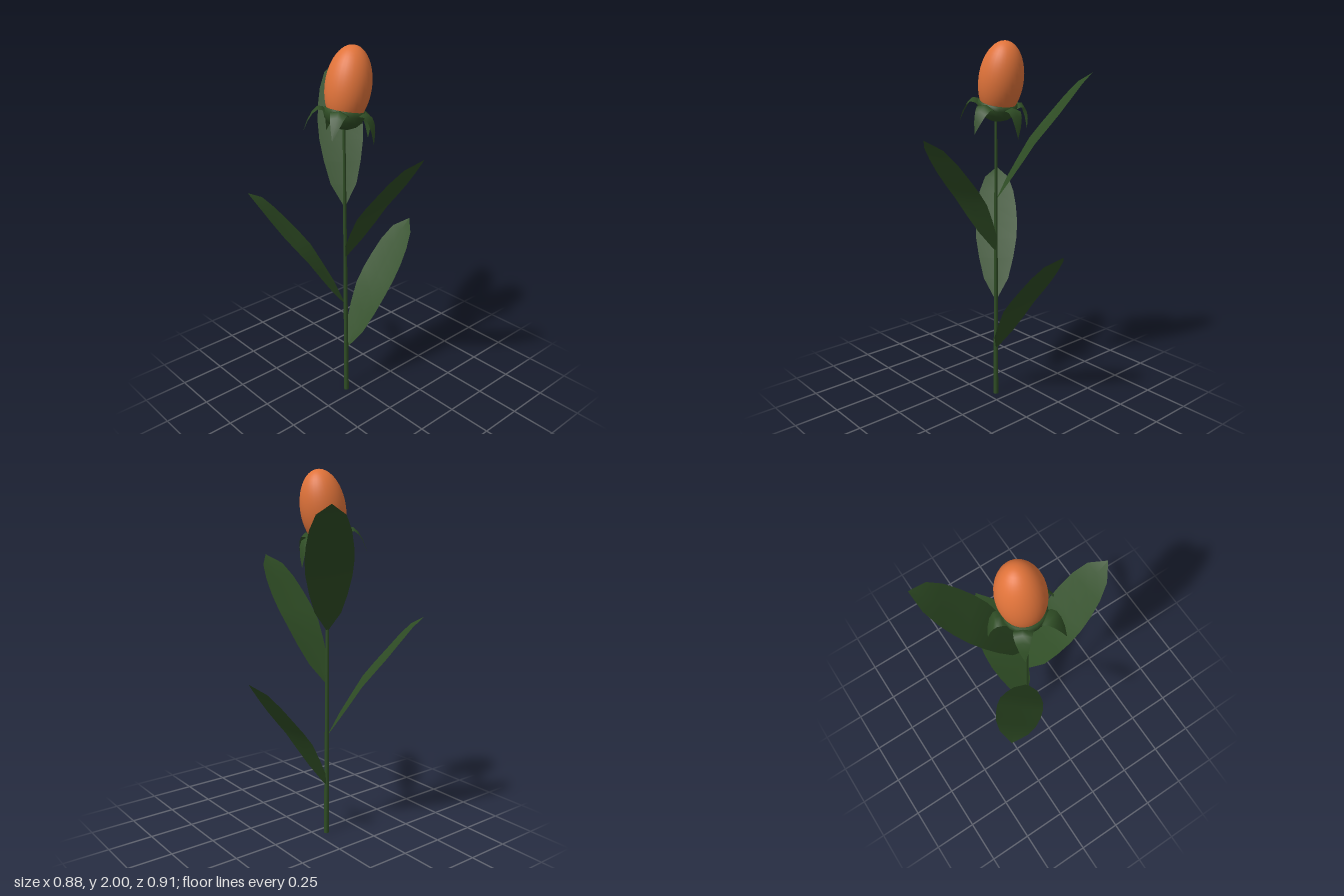
import * as THREE from 'three';

const green = new THREE.MeshStandardMaterial({ color: 0x2f4d25, side: THREE.DoubleSide });
green.name = 'leaf green';
const orange = new THREE.MeshStandardMaterial({ color: 0xe0733a });
orange.name = 'bud orange';

function part(name, geometry, material, parent) {
  const mesh = new THREE.Mesh(geometry, material);
  mesh.name = name;
  parent.add(mesh);
  return mesh;
}

// Blade running along +x from rows of [x, y, half width]; its edges are lifted by fold
function bladeGeometry(rows, fold) {
  const pos = [], index = [];
  rows.forEach(([x, y, w], i) => {
    const lift = fold * w;
    pos.push(x, y + lift, -w, x, y, 0, x, y + lift, w);
    if (i === 0) return;
    const a = (i - 1) * 3, b = i * 3;
    for (let j = 0; j < 2; j++) {
      index.push(a + j, a + j + 1, b + j, a + j + 1, b + j + 1, b + j);
    }
  });
  const g = new THREE.BufferGeometry();
  g.setAttribute('position', new THREE.Float32BufferAttribute(pos, 3));
  g.setIndex(index);
  g.computeVertexNormals();
  return g;
}

export function createModel() {
  const model = new THREE.Group();
  model.name = 'flower';
  const stemX = -0.065, stemZ = -0.052;

  // Tapered stem
  const stem = part('stem', new THREE.CylinderGeometry(0.007, 0.014, 1.6, 8), green, model);
  stem.position.set(stemX, 0.8, stemZ);

  // Four equal leaves spiralling up the stem by the golden angle
  const leaf = bladeGeometry([
    [0.005, 0, 0.004], [0.065, 0.1, 0.069], [0.13, 0.203, 0.098],
    [0.192, 0.302, 0.117], [0.255, 0.38, 0.121], [0.317, 0.455, 0.115],
    [0.38, 0.535, 0.1], [0.442, 0.61, 0.07], [0.505, 0.665, 0],
  ], 0.08);
  for (let i = 0; i < 4; i++) {
    const m = part('leaf', leaf, green, model);
    m.position.set(stemX, 0.29 + i * 0.293, stemZ);
    m.rotation.y = THREE.MathUtils.degToRad(1 + i * 137.5);
  }

  // Flower head, leaning to +x
  const head = new THREE.Group();
  head.name = 'flowerHead';
  head.position.set(-0.075, 1.59, -0.057);
  head.rotation.z = THREE.MathUtils.degToRad(-12);
  model.add(head);

  const bud = part('bud', new THREE.SphereGeometry(1, 32, 24), orange, head);
  bud.scale.set(0.117, 0.2, 0.117);
  bud.position.y = 0.216;

  // Cup under the bud
  const cup = [[0, 0], [0.035, 0.004], [0.07, 0.02], [0.095, 0.046], [0.106, 0.075], [0.104, 0.098], [0.088, 0.1]];
  part('cup', new THREE.LatheGeometry(cup.map(([x, y]) => new THREE.Vector2(x, y)), 20), green, head);

  // Five sepals curling out and down
  const sepal = bladeGeometry([
    [0.08, 0.078, 0.04], [0.11, 0.101, 0.045], [0.137, 0.1, 0.042],
    [0.16, 0.072, 0.033], [0.178, 0.025, 0.02], [0.192, -0.042, 0],
  ], -0.35);
  for (let i = 0; i < 5; i++) {
    part('sepal', sepal, green, head).rotation.y = i * Math.PI * 2 / 5;
  }
  return model;
}
